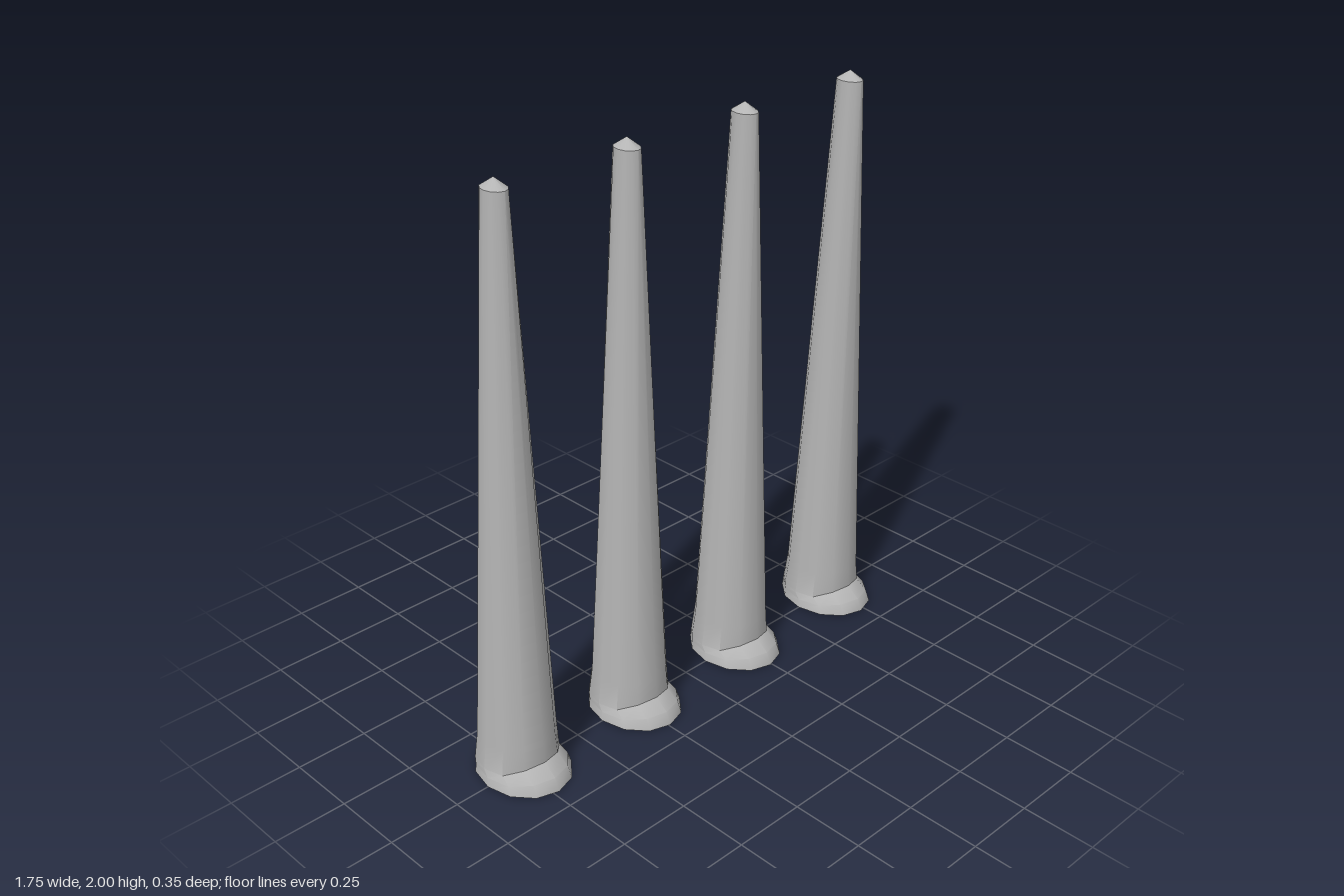
import * as THREE from 'three';
import { toCreasedNormals } from 'three/addons/utils/BufferGeometryUtils.js';

const SIDES = 12;

// Cross-sections from floor to tip: height, x shift, half width, back z, front z,
// and how much higher the ring sits at the front
const RINGS = [
  { y: 0, x: 0, rx: 0.147, back: -0.175, front: 0.175, lift: 0 },
  { y: 0.03, x: 0, rx: 0.142, back: -0.171, front: 0.158, lift: 0.013 }, // toe
  { y: 0.05, x: 0, rx: 0.136, back: -0.167, front: 0.11, lift: 0.028 }, // toe crease
  { y: 0.15, x: -0.002, rx: 0.127, back: -0.15, front: 0.108, lift: 0 }, // ankle
  { y: 1.97, x: -0.01, rx: 0.036, back: -0.03, front: 0.066, lift: 0 }, // top rim
];

function legGeometry() {
  const pos = [];
  const index = [];
  for (const r of RINGS) {
    for (let i = 0; i < SIDES; i++) {
      const a = (i / SIDES) * Math.PI * 2;
      const c = Math.cos(a);
      pos.push(
        r.x + r.rx * Math.sin(a),
        r.y + r.lift * Math.min(1, Math.max(0, c * 2 - 1)),
        (r.front + r.back) / 2 + ((r.front - r.back) / 2) * c
      );
    }
  }
  const tip = pos.length / 3;
  pos.push(-0.01, 2, 0.018);
  const base = tip + 1;
  pos.push(0, 0, 0);
  const last = (RINGS.length - 1) * SIDES;
  for (let i = 0; i < SIDES; i++) {
    const j = (i + 1) % SIDES;
    for (let k = 0; k < last; k += SIDES) {
      index.push(k + i, k + j, k + SIDES + j, k + i, k + SIDES + j, k + SIDES + i);
    }
    index.push(last + i, last + j, tip); // pointed cap
    index.push(base, j, i); // sole
  }
  const g = new THREE.BufferGeometry();
  g.setAttribute('position', new THREE.Float32BufferAttribute(pos, 3));
  g.setIndex(index);
  return toCreasedNormals(g, 0.62);
}

export function createModel() {
  const group = new THREE.Group();
  group.name = 'legSet';
  const grey = new THREE.MeshStandardMaterial({ color: 0xb4b4b4 });
  grey.name = 'plainGrey';
  const geometry = legGeometry();

  // Four identical tapered legs in a row
  for (let i = 0; i < 4; i++) {
    const leg = new THREE.Mesh(geometry, grey);
    leg.name = `leg${i + 1}`;
    leg.position.x = -0.731 + i * 0.487;
    group.add(leg);
  }
  return group;
}
